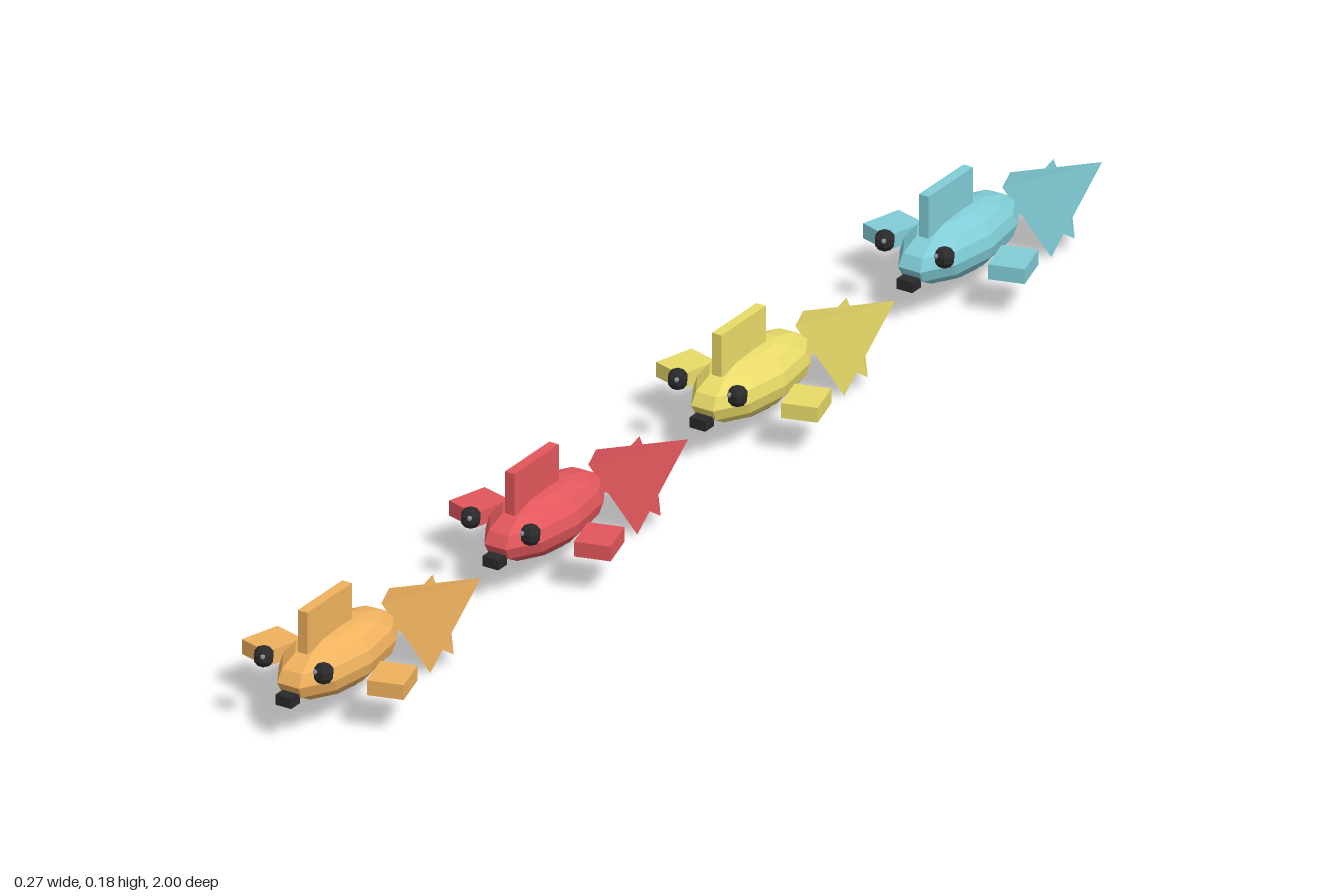
import * as THREE from 'three';
import { ConvexGeometry } from 'three/addons/geometries/ConvexGeometry.js';

const SPACING = 0.53;
const material = (color) => new THREE.MeshStandardMaterial({ color, flatShading: true });

function add(parent, name, geometry, mat, x, y, z) {
  const mesh = new THREE.Mesh(geometry, mat);
  mesh.name = name;
  mesh.position.set(x, y, z);
  parent.add(mesh);
  return mesh;
}

function tetrahedron(...corners) {
  return new ConvexGeometry(corners.map((c) => new THREE.Vector3(...c)));
}

function createFish(color) {
  const fish = new THREE.Group();
  const skin = material(color);
  const dark = material(0x2a2a2c);
  const grey = material(0x8a939c);

  // Faceted body and the paler plate beneath it
  add(fish, 'body', new THREE.SphereGeometry(1, 10, 8).scale(0.058, 0.047, 0.134), skin, 0, 0.085, 0);
  add(fish, 'belly', new THREE.SphereGeometry(1, 10, 6).scale(0.035, 0.012, 0.075), grey, 0, 0.049, 0);

  // Fin on the back
  add(fish, 'dorsalFin', new THREE.BoxGeometry(0.016, 0.065, 0.114), skin, 0, 0.153, 0.033);

  // Mouth
  add(fish, 'mouth', new THREE.BoxGeometry(0.026, 0.016, 0.022), dark, 0, 0.065, 0.128);

  // Side fins and eyes, mirrored
  for (const side of [1, -1]) {
    const label = side > 0 ? 'left' : 'right';
    const fin = add(fish, label + 'SideFin', new THREE.BoxGeometry(0.054, 0.023, 0.066), skin, side * 0.1, 0.074, 0.014);
    fin.rotation.y = side * 0.28;
    add(fish, label + 'Eye', new THREE.SphereGeometry(0.016, 6, 5), dark, side * 0.05, 0.112, 0.113);
    add(fish, label + 'EyeGlint', new THREE.SphereGeometry(0.004, 5, 4), grey, side * 0.044, 0.117, 0.125);
  }

  // Tail of two crossed tetrahedra
  add(fish, 'tailLarge', tetrahedron(
    [0.012, 0.127, -0.093], [0.088, 0.13, -0.232], [0.052, 0.003, -0.157], [-0.057, 0.081, -0.219]
  ), skin, 0, 0, 0);
  add(fish, 'tailSmall', tetrahedron(
    [0.012, 0.024, -0.27], [0.073, 0.026, -0.185], [0.02, 0.125, -0.212], [-0.03, 0.05, -0.17]
  ), skin, 0, 0, 0);
  return fish;
}

export function createModel() {
  const model = new THREE.Group();
  model.name = 'fishRow';
  const colors = { orangeFish: 0xf0b25e, redFish: 0xe2575c, yellowFish: 0xe8da68, blueFish: 0x80ccd6 };
  Object.entries(colors).forEach(([name, color], i) => {
    const fish = createFish(color);
    fish.name = name;
    fish.position.z = 0.86 - i * SPACING;
    model.add(fish);
  });
  return model;
}
